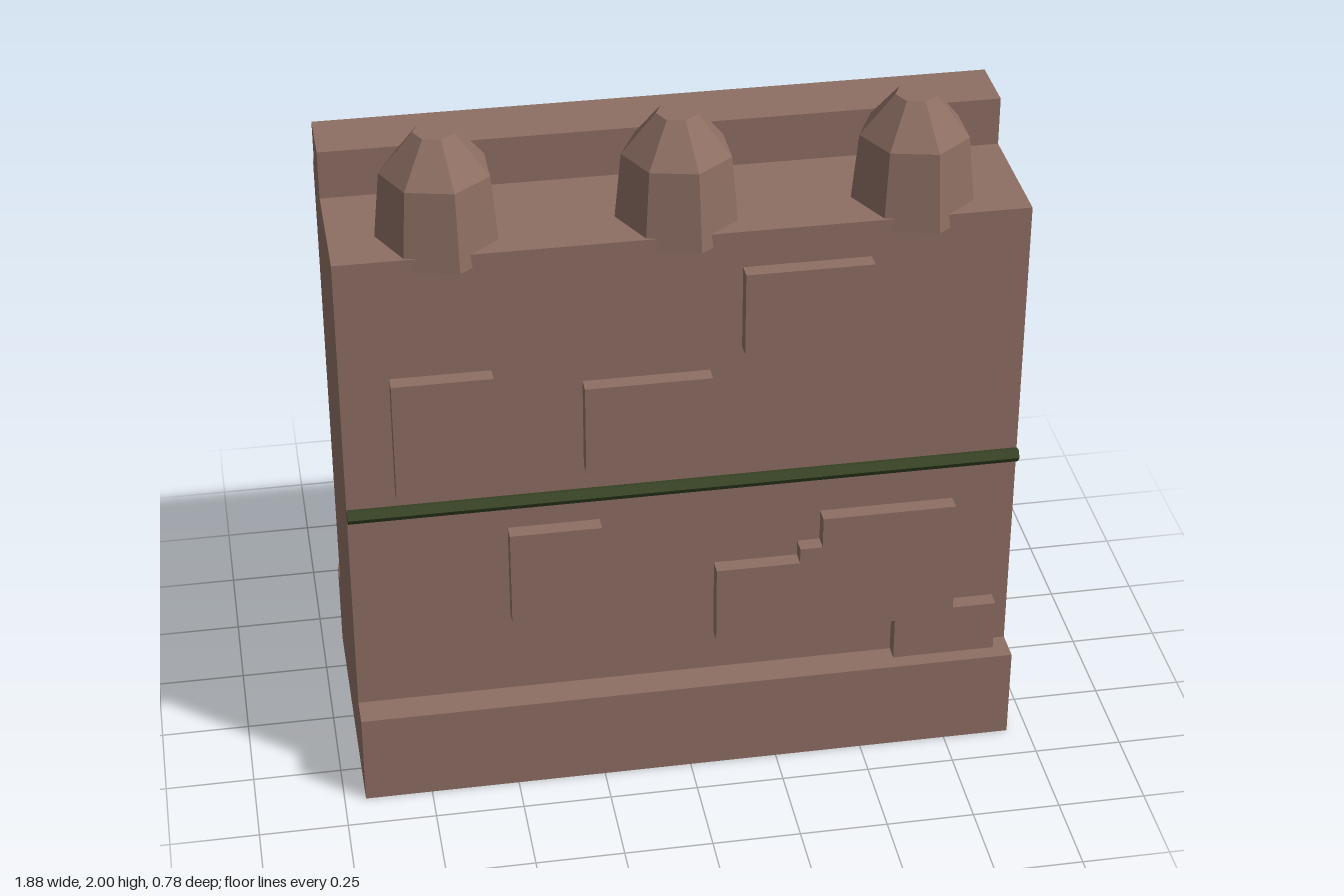
import * as THREE from 'three';

const stone = new THREE.MeshStandardMaterial({ color: 0x8d6e63 });
stone.name = 'brown stone';
const vine = new THREE.MeshStandardMaterial({ color: 0x3a4526 });
vine.name = 'dark green';

const WIDTH = 1.88;
const WALL_Z = 0.3;

// Faceted normals baked into the geometry
function faceted(geometry) {
  const g = geometry.index ? geometry.toNonIndexed() : geometry;
  g.computeVertexNormals();
  return g;
}

function extrude(points, depth) {
  const shape = new THREE.Shape(points.map(([x, y]) => new THREE.Vector2(x, y)));
  return new THREE.ExtrudeGeometry(shape, { depth, bevelEnabled: false });
}

export function createModel() {
  const model = new THREE.Group();
  model.name = 'battlementWall';

  function add(name, geometry, material, x = 0, y = 0, z = 0) {
    const mesh = new THREE.Mesh(geometry, material);
    mesh.name = name;
    mesh.position.set(x, y, z);
    model.add(mesh);
    return mesh;
  }

  // Wall section with plinth and rear parapet, drawn as (-z, y) and run along x
  const section = extrude([
    [-0.39, 0], [0.39, 0], [0.39, 0.275], [WALL_Z, 0.275], [WALL_Z, 1.7], [0.25, 1.7],
    [0.25, 1.84], [0.07, 1.84], [0.07, 1.7], [-WALL_Z, 1.7], [-WALL_Z, 0.275], [-0.39, 0.275],
  ], WIDTH);
  section.translate(0, 0, -WIDTH / 2).rotateY(Math.PI / 2);
  add('wall', section, stone);

  // Raised blocks on the front: x0, x1, y0, y1
  const blocks = [
    [-0.805, -0.53, 0.98, 1.34],
    [-0.285, 0.065, 1.01, 1.28],
    [0.152, 0.503, 1.345, 1.592],
    [-0.5, -0.243, 0.533, 0.825],
  ];
  for (const [x0, x1, y0, y1] of blocks) {
    add('raisedBlock', new THREE.BoxGeometry(x1 - x0, y1 - y0, 0.045), stone,
      (x0 + x1) / 2, (y0 + y1) / 2, WALL_Z + 0.0225);
  }

  // Stepped cluster of blocks beside the plinth
  add('steppedBlock', extrude([
    [0.08, 0.4], [0.53, 0.4], [0.53, 0.405], [0.6, 0.405], [0.6, 0.275], [0.895, 0.275],
    [0.895, 0.432], [0.77, 0.432], [0.762, 0.782], [0.382, 0.782], [0.382, 0.687],
    [0.318, 0.687], [0.318, 0.64], [0.08, 0.64],
  ], 0.045), stone, 0, 0, WALL_Z);

  // Five-sided rail along the front, one edge facing forward
  const rail = faceted(new THREE.CylinderGeometry(0.021, 0.021, WIDTH, 5));
  rail.rotateZ(Math.PI / 2);
  add('rail', rail, vine, 0, 0.92, 0.315);

  // Seven-sided tapered caps overhanging the front edge
  const profile = [[0, 1.66], [0.173, 1.66], [0.151, 1.887], [0.057, 2], [0, 2]]
    .map(([r, y]) => new THREE.Vector2(r, y));
  const cap = faceted(new THREE.LatheGeometry(profile, 7, -Math.PI / 2));
  for (const x of [-0.645, -0.003, 0.641]) add('cap', cap, stone, x, 0, 0.16);

  return model;
}
